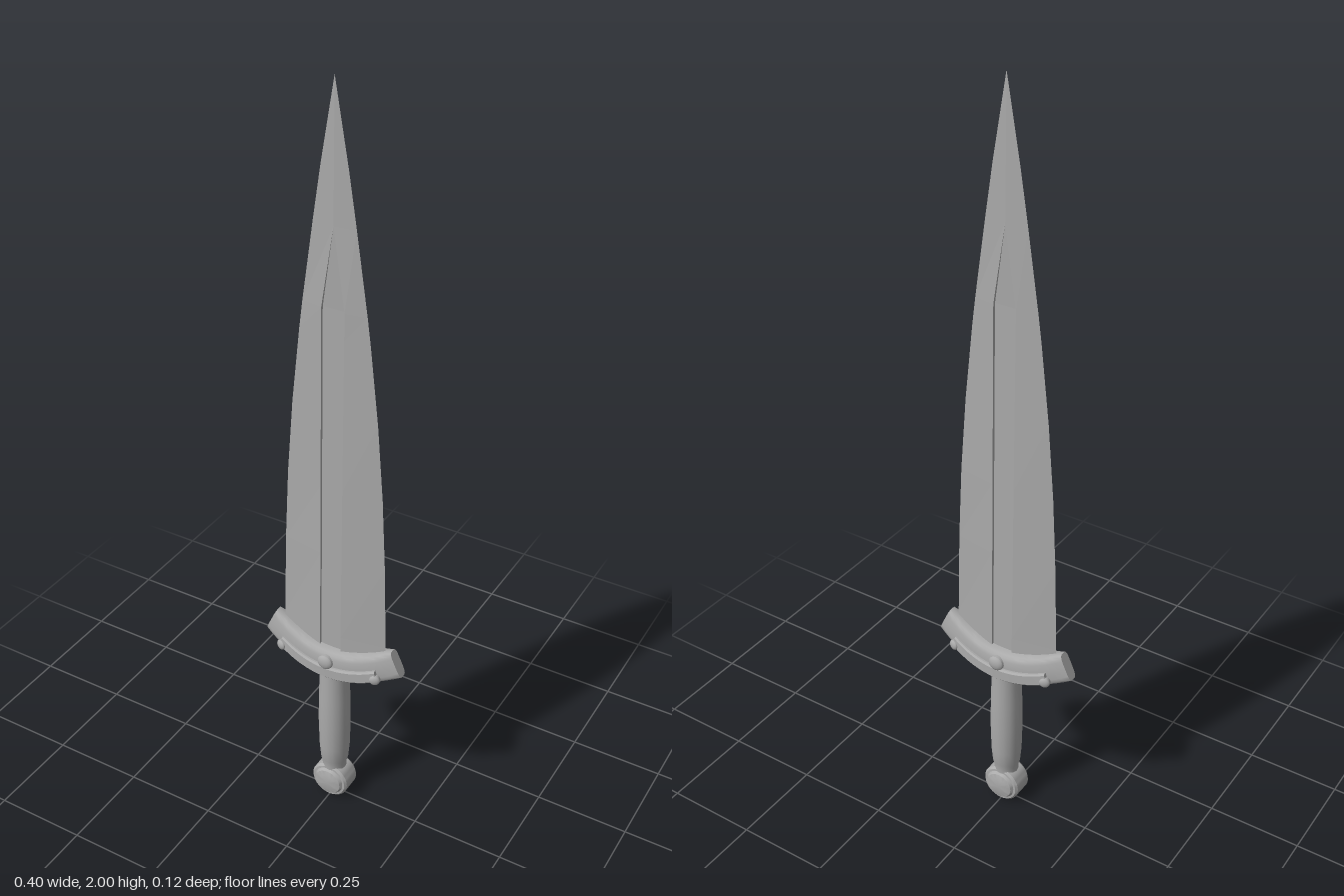
import * as THREE from 'three';
import { toCreasedNormals } from 'three/addons/utils/BufferGeometryUtils.js';

// Skin a list of equal-length rings ([x, y, z] points) and cap both ends
function loft(rings, crease) {
  const out = [];
  const n = rings[0].length;
  const tri = (a, b, c) => out.push(...a, ...b, ...c);
  for (let i = 0; i < rings.length - 1; i++) {
    for (let j = 0; j < n; j++) {
      const k = (j + 1) % n;
      const [a, b, c, d] = [rings[i][j], rings[i][k], rings[i + 1][k], rings[i + 1][j]];
      tri(a, b, c);
      tri(a, c, d);
    }
  }
  const middle = (ring) => [0, 1, 2].map((q) => ring.reduce((s, p) => s + p[q], 0) / n);
  const first = rings[0], last = rings[rings.length - 1];
  const m0 = middle(first), m1 = middle(last);
  for (let j = 0; j < n; j++) {
    const k = (j + 1) % n;
    tri(m0, first[k], first[j]);
    tri(m1, last[j], last[k]);
  }
  const g = new THREE.BufferGeometry();
  g.setAttribute('position', new THREE.Float32BufferAttribute(out, 3));
  g.computeVertexNormals();
  return crease ? toCreasedNormals(g, crease) : g;
}

function turned(profile, segments) {
  const pts = profile.map(([r, y]) => new THREE.Vector2(r, y));
  return toCreasedNormals(new THREE.LatheGeometry(pts, segments), 0.6);
}

// Point on the curved guard: t runs along it (-1..1), v from bottom to top (0..1)
function guardPoint(t, v, z) {
  const x = THREE.MathUtils.lerp(0.2, 0.168, v) * t;
  const y = THREE.MathUtils.lerp(0.428 + 0.062 * t * t, 0.515 + 0.045 * t * t, v);
  return [x, y, z];
}
const guardDepth = (t) => 0.046 - 0.031 * t * t;

export function createModel() {
  const model = new THREE.Group();
  const steel = new THREE.MeshStandardMaterial({ color: 0xaaaaaa });
  steel.name = 'steel';
  const add = (name, geometry, parent = model) => {
    const mesh = new THREE.Mesh(geometry, steel);
    mesh.name = name;
    parent.add(mesh);
    return mesh;
  };

  // Blade: [height, half width], with a sunken groove on each face
  const outline = [[0.48, 0.153], [0.56, 0.148], [0.8, 0.141], [1.0, 0.131], [1.2, 0.115],
    [1.4, 0.093], [1.47, 0.084], [1.67, 0.055], [1.8, 0.035], [2.0, 0]];
  const bladeRings = outline.map(([y, w]) => {
    const ridge = 0.023 * (2 - y) / 1.5;
    const fade = THREE.MathUtils.clamp((1.67 - y) / 0.2, 0, 1);
    const g = 0.03 * fade;
    const floor = ridge - 0.007 * fade;
    return [[w, 0], [g, -ridge], [g, -floor], [-g, -floor], [-g, -ridge],
      [-w, 0], [-g, ridge], [-g, floor], [g, floor], [g, ridge]].map(([x, z]) => [x, y, z]);
  });
  add('blade', loft(bladeRings));

  // Guard: curved bar with a rounded section, thinner towards its ends
  const guard = new THREE.Group();
  guard.name = 'guard';
  model.add(guard);
  const round = (c) => Math.sign(c) * Math.pow(Math.abs(c), 0.5);
  const guardRings = [];
  for (let i = 0; i <= 24; i++) {
    const t = i / 12 - 1;
    const ring = [];
    for (let j = 0; j < 20; j++) {
      const a = (j / 20) * Math.PI * 2;
      ring.push(guardPoint(t, 0.5 + 0.5 * round(Math.cos(a)), guardDepth(t) * round(Math.sin(a))));
    }
    guardRings.push(ring);
  }
  add('guardBar', loft(guardRings, 0.7), guard);

  // Raised strip and three rivets on both faces of the guard
  const stripRings = [];
  for (let i = 0; i <= 16; i++) {
    const t = (i / 8 - 1) * 0.74;
    const d = guardDepth(t);
    stripRings.push([[0.52, d * 0.7], [0.52, d + 0.005], [0.47, d + 0.009], [0.17, d + 0.009],
      [0.11, d + 0.004], [0.11, d * 0.7]].map(([v, z]) => guardPoint(t, v, z)));
  }
  const stripGeometry = loft(stripRings, 0.5);
  const rivetGeometry = turned([[1, -0.6], [1, 0.25], [0.85, 0.45], [0.5, 0.6], [0, 0.65]], 16);
  for (const side of ['front', 'back']) {
    const trim = new THREE.Group();
    trim.name = side + 'GuardTrim';
    trim.rotation.y = side === 'front' ? 0 : Math.PI;
    guard.add(trim);
    add('strip', stripGeometry, trim);
    for (const [x, y, z, r] of [[0, 0.485, 0.045, 0.021], [0.138, 0.477, 0.036, 0.014], [-0.138, 0.477, 0.036, 0.014]]) {
      const rivet = add('rivet', rivetGeometry, trim);
      rivet.position.set(x, y, z);
      rivet.rotation.set(Math.PI / 2, 0, -Math.sign(x) * 0.35);
      rivet.scale.setScalar(r);
    }
  }

  // Grip: gently swelling handle
  add('grip', turned([[0, 0.09], [0.033, 0.09], [0.033, 0.11], [0.037, 0.125], [0.041, 0.17],
    [0.043, 0.25], [0.042, 0.34], [0.039, 0.41], [0.039, 0.45], [0, 0.45]], 16));

  // Pommel: disc facing front and back with a raised boss on each side
  const half = [[0, 0.043], [0.025, 0.042], [0.037, 0.038], [0.042, 0.031], [0.048, 0.031], [0.053, 0.025]];
  const profile = [...half.map(([r, y]) => [r, -y]), ...half.slice().reverse()];
  const pommel = add('pommel', turned(profile, 32));
  pommel.rotation.x = Math.PI / 2;
  pommel.position.y = 0.053;

  return model;
}
